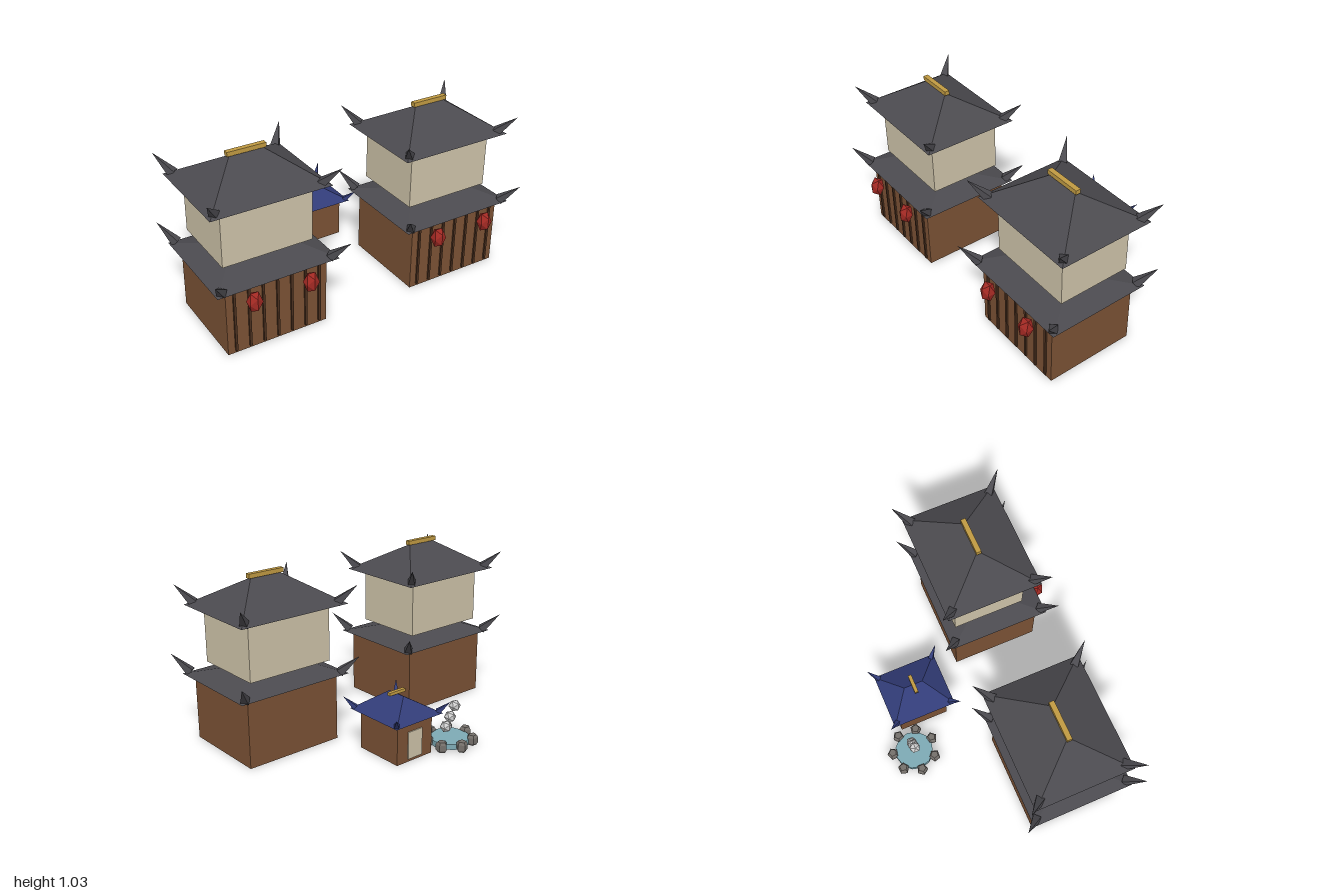
import * as THREE from 'three';

const colours = {
  wood: 0x7a5134, darkWood: 0x4a2f1e, plaster: 0xcdc2a8, roofTile: 0x4b4a4f, blueTile: 0x323c78,
  gold: 0xc09a42, lanternRed: 0xa22923, stone: 0x75706b, water: 0x7daab5, mist: 0xcfcfcf,
};

// Faceted normals for low-poly parts
function flat(geometry) {
  const g = geometry.index ? geometry.toNonIndexed() : geometry;
  g.computeVertexNormals();
  return g;
}

// Hip roof: a box whose top corners are drawn in to a ridge
function hipRoof(halfX, halfZ, height, ridgeX, ridgeZ) {
  const g = new THREE.BoxGeometry(halfX * 2, height, halfZ * 2);
  g.translate(0, height / 2, 0);
  const p = g.attributes.position;
  for (let i = 0; i < p.count; i++) {
    if (p.getY(i) > height / 2) {
      p.setX(i, Math.sign(p.getX(i)) * ridgeX);
      p.setZ(i, Math.sign(p.getZ(i)) * ridgeZ);
    }
  }
  return flat(g);
}

export function createModel() {
  const mats = {};
  for (const [name, color] of Object.entries(colours)) {
    mats[name] = new THREE.MeshStandardMaterial({ color });
    mats[name].name = name;
  }

  function add(parent, name, geometry, mat, x, y, z) {
    const mesh = new THREE.Mesh(geometry, mats[mat]);
    mesh.name = name;
    mesh.position.set(x, y, z);
    parent.add(mesh);
    return mesh;
  }
  const box = (parent, name, mat, w, h, d, x, y, z) =>
    add(parent, name, new THREE.BoxGeometry(w, h, d), mat, x, y, z);

  // Upturned horn at each roof corner, running from base to tip
  function horns(parent, mat, radius, base, tip, z) {
    for (const sx of [-1, 1]) for (const sz of [-1, 1]) {
      const a = new THREE.Vector3(base[0] * sx, base[1], base[2] * sz);
      const b = new THREE.Vector3(tip[0] * sx, tip[1], tip[2] * sz);
      const dir = b.clone().sub(a);
      const horn = add(parent, 'roofHorn', flat(new THREE.ConeGeometry(radius, dir.length(), 4)), mat, 0, 0, 0);
      horn.position.copy(a).add(b).multiplyScalar(0.5);
      horn.position.z += z;
      horn.quaternion.setFromUnitVectors(new THREE.Vector3(0, 1, 0), dir.normalize());
    }
  }

  // Two-storey hall
  function hall(x) {
    const g = new THREE.Group();
    g.name = 'hall';
    g.position.x = x;
    const lowZ = 0.273, upZ = 0.238;
    box(g, 'lowerWalls', 'wood', 0.61, 0.408, 0.546, 0, 0.204, lowZ);
    for (let i = -3; i <= 3; i++) {
      box(g, 'wallSlat', 'darkWood', 0.014, 0.375, 0.014, i * 0.0856, 0.203, 0.549);
    }
    add(g, 'lowerRoof', hipRoof(0.365, 0.313, 0.088, 0.12, 0), 'roofTile', 0, 0.408, lowZ);
    horns(g, 'roofTile', 0.033, [0.326, 0.418, 0.282], [0.4, 0.522, 0.372], lowZ);
    box(g, 'upperWalls', 'plaster', 0.542, 0.345, 0.444, 0, 0.6675, upZ);
    add(g, 'upperRoof', hipRoof(0.355, 0.293, 0.172, 0.094, 0), 'roofTile', 0, 0.835, upZ);
    horns(g, 'roofTile', 0.033, [0.31, 0.845, 0.25], [0.386, 0.949, 0.338], upZ);
    box(g, 'ridgeBeam', 'gold', 0.23, 0.026, 0.03, 0, 1.018, upZ);
    for (const sx of [-1, 1]) {
      const lantern = add(g, 'lantern', new THREE.IcosahedronGeometry(0.045, 0), 'lanternRed', sx * 0.17, 0.341, 0.613);
      lantern.scale.y = 1.45;
    }
    return g;
  }

  // Small shrine with its door at the back
  function shrine() {
    const g = new THREE.Group();
    g.name = 'shrine';
    g.position.set(0.131, 0, -0.346);
    box(g, 'shrineWalls', 'wood', 0.262, 0.247, 0.31, 0, 0.1235, 0);
    box(g, 'shrineDoor', 'plaster', 0.105, 0.165, 0.009, 0, 0.1, -0.157);
    add(g, 'shrineRoof', hipRoof(0.176, 0.198, 0.108, 0, 0.059), 'blueTile', 0, 0.246, 0);
    horns(g, 'blueTile', 0.021, [0.155, 0.254, 0.175], [0.203, 0.318, 0.228], 0);
    box(g, 'shrineRidgeBeam', 'gold', 0.117, 0.018, 0.022, 0, 0.362, 0);
    return g;
  }

  // Pond ringed with stones, a trail of mist rising from it
  function pond() {
    const g = new THREE.Group();
    g.name = 'pond';
    g.position.set(-0.167, 0, -0.481);
    add(g, 'water', flat(new THREE.CylinderGeometry(0.118, 0.118, 0.034, 12)), 'water', 0, 0.028, 0);
    const profile = [[0, 0.004], [0.024, 0.004], [0.034, 0.018], [0.034, 0.052], [0.024, 0.067], [0, 0.067]]
      .map(([r, y]) => new THREE.Vector2(r, y));
    const stone = flat(new THREE.LatheGeometry(profile, 5));
    for (let i = 0; i < 7; i++) {
      const a = Math.PI + (i / 7) * Math.PI * 2;
      const s = add(g, 'pondStone', stone, 'stone', Math.cos(a) * 0.134, 0, Math.sin(a) * 0.134);
      s.rotation.y = Math.PI / 2 - a;
    }
    for (const [x, y] of [[0.031, 0.115], [-0.001, 0.168], [-0.036, 0.227]]) {
      add(g, 'mistPuff', new THREE.IcosahedronGeometry(0.036, 0), 'mist', x, y, 0);
    }
    return g;
  }

  const model = new THREE.Group();
  model.name = 'courtyard';
  model.add(hall(-0.597), hall(0.592), shrine(), pond());
  return model;
}
